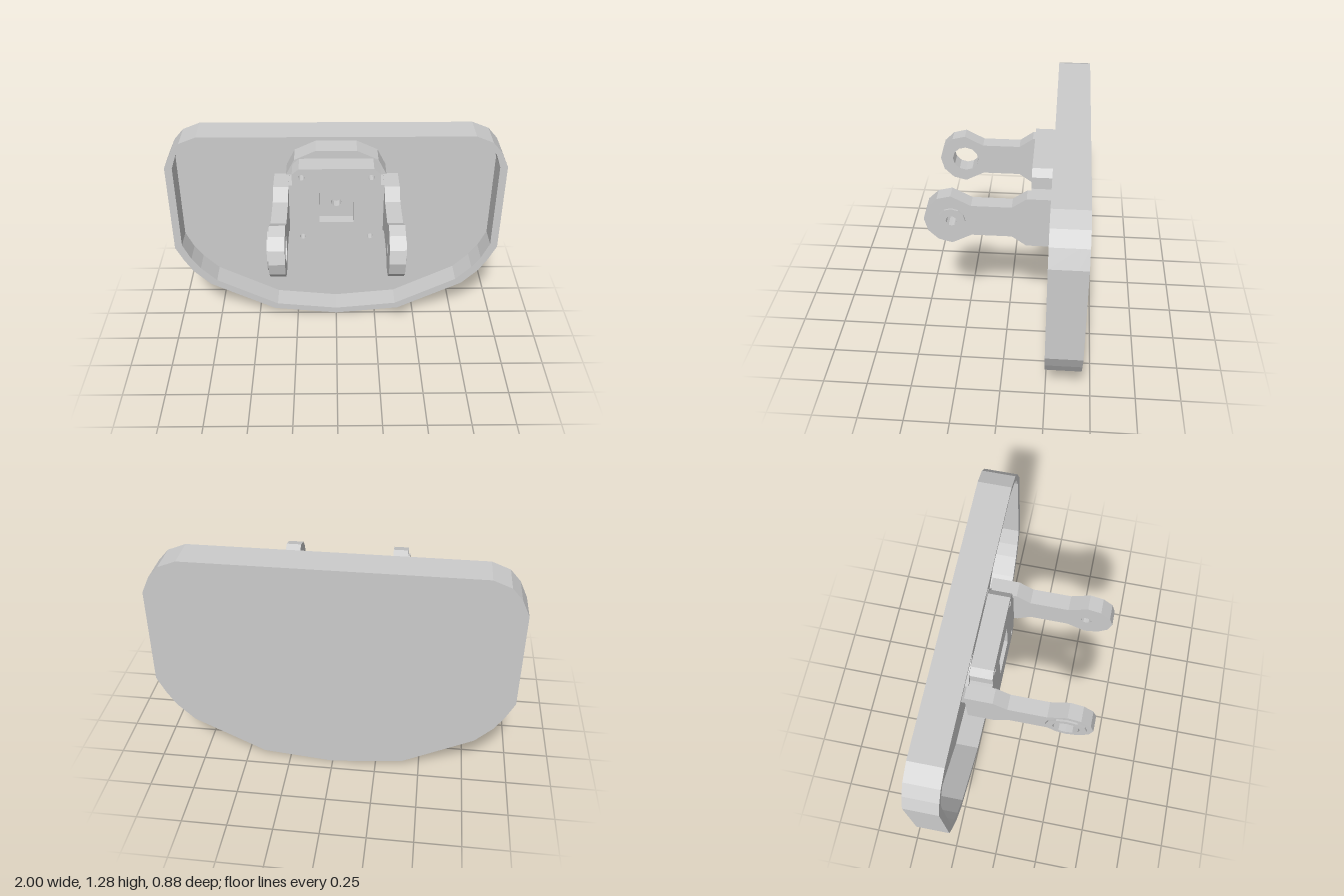
import * as THREE from 'three';

const CY = 0.88; // height of the bracket axis
const AZ = 0.287; // depth of the arm eyes

function circlePath(x, y, r, n) {
  const pts = [];
  for (let i = 0; i < n; i++) {
    const a = (i / n) * Math.PI * 2;
    pts.push(new THREE.Vector2(x + r * Math.cos(a), y + r * Math.sin(a)));
  }
  return new THREE.Path(pts);
}

// Mirror a right-half outline (top to bottom) into a closed counter-clockwise list
function mirrored(half) {
  const left = half.filter(([x]) => x > 0).map(([x, y]) => [-x, y]);
  return [...left, ...[...half].reverse()].map(([x, y]) => new THREE.Vector2(x, y));
}

export function createModel() {
  const model = new THREE.Group();
  const material = new THREE.MeshStandardMaterial({ color: 0xcccccc, flatShading: true });

  function add(name, geometry) {
    const mesh = new THREE.Mesh(geometry, material);
    mesh.name = name;
    model.add(mesh);
  }

  // Extrude an outline from z0 to z1
  function slab(name, points, z0, z1, holes = []) {
    const shape = new THREE.Shape(points);
    shape.holes.push(...holes);
    const geometry = new THREE.ExtrudeGeometry(shape, { depth: z1 - z0, bevelEnabled: false });
    add(name, geometry.translate(0, 0, z0));
  }

  // Tray: back panel and raised rim
  const outer = mirrored([[0.8, 1.28], [0.9, 1.24], [0.957, 1.175], [1, 1.082], [1, 0.52],
    [0.953, 0.425], [0.9, 0.34], [0.8, 0.24], [0.4, 0.04], [0, 0]]);
  const inner = mirrored([[0.76, 1.265], [0.87, 1.22], [0.925, 1.165], [0.955, 1.08], [0.955, 0.54],
    [0.907, 0.437], [0.855, 0.365], [0.76, 0.27], [0.38, 0.078], [0, 0.04]]);
  slab('backPanel', outer, -0.438, -0.39);
  slab('rim', outer, -0.39, -0.247, [new THREE.Path(inner)]);

  // Hub: wide base inside the tray, and a face plate with a square pocket
  slab('hubBase', mirrored([[0.12, 1.185], [0.245, 1.127], [0.295, 1.03], [0.295, 0.73],
    [0.245, 0.633], [0.12, 0.575]]), -0.39, -0.26);
  const plate = mirrored([[0.215, 1.135], [0.255, 1.1], [0.255, 0.66], [0.215, 0.625]]);
  const bolts = [];
  for (const x of [-0.2, 0.2]) for (const y of [-0.2, 0.2]) bolts.push(circlePath(x, CY + y, 0.018, 12));
  const pocket = new THREE.Path(mirrored([[0.1, CY + 0.1], [0.1, CY - 0.1]]));
  slab('hubCore', plate, -0.26, -0.2, [circlePath(0, CY, 0.03, 12)]);
  slab('hubPlate', plate, -0.2, -0.135, [pocket, ...bolts]);

  // Arms: side profile as (z, y), with a twelve-sided eye at the tip
  const profile = [[-0.27, 1.032], [-0.27, 0.73], [-0.115, 0.73], [-0.037, 0.787], [0.18, 0.787]];
  for (let i = -3; i <= 3; i++) {
    const a = (i * Math.PI) / 6;
    profile.push([AZ + 0.15 * Math.cos(a), CY + 0.15 * Math.sin(a)]);
  }
  profile.push([0.18, 0.975], [-0.037, 0.975], [-0.115, 1.032]);

  // Extrude a (z, y) outline between two x positions, with a hole through the eye
  function sideSlab(name, path, x0, x1, holeRadius) {
    const shape = new THREE.Shape(path.map(([z, y]) => new THREE.Vector2(-z, y)));
    shape.holes.push(circlePath(-AZ, CY, holeRadius, 12));
    const geometry = new THREE.ExtrudeGeometry(shape, { depth: x1 - x0, bevelEnabled: false });
    add(name, geometry.rotateY(Math.PI / 2).translate(x0, 0, 0));
  }
  const ring = (r) => circlePath(AZ, CY, r, 12).getPoints().map((p) => [p.x, p.y]);
  sideSlab('leftArm', profile, 0.275, 0.362, 0.03);
  sideSlab('leftBoss', ring(0.075), 0.362, 0.372, 0.03);
  sideSlab('rightArm', profile, -0.362, -0.275, 0.077);
  sideSlab('rightBoss', ring(0.115), -0.372, -0.362, 0.077);

  // Webs joining the arms to the hub plate
  for (const side of [-1, 1]) {
    add('armWeb', new THREE.BoxGeometry(0.04, 0.3, 0.135).translate(side * 0.265, CY, -0.2025));
  }
  return model;
}
